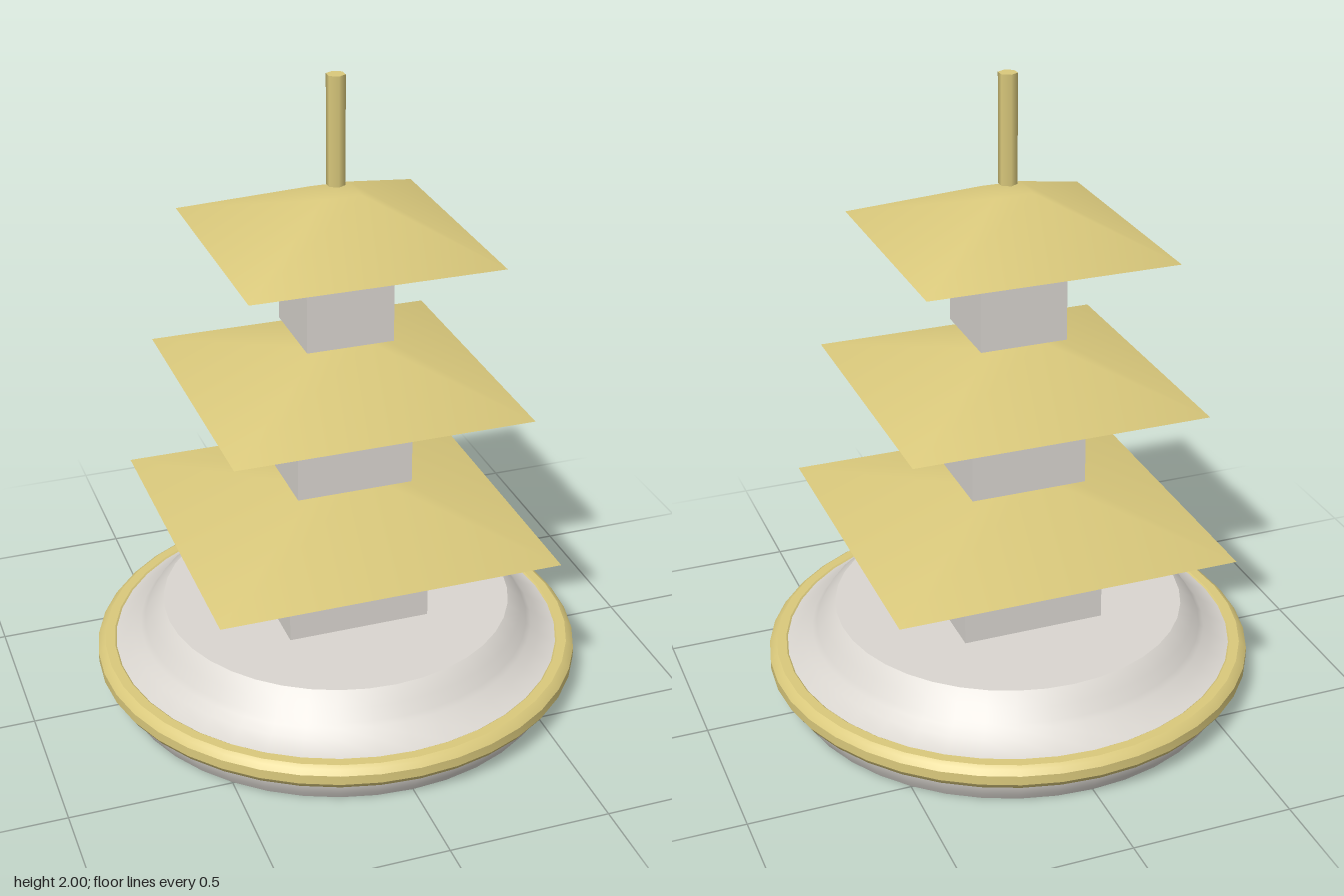
import * as THREE from 'three';
import { toCreasedNormals } from 'three/addons/utils/BufferGeometryUtils.js';

const stone = new THREE.MeshStandardMaterial({ name: 'pale stone', color: 0xdad6d0 });
const gold = new THREE.MeshStandardMaterial({ name: 'soft gold', color: 0xdac97c });

function part(name, geometry, material, y = 0) {
  const mesh = new THREE.Mesh(geometry, material);
  mesh.name = name;
  mesh.position.y = y;
  return mesh;
}

// Round part turned from a profile of [radius, height], listed bottom to top
function turned(profile) {
  const points = profile.map(([r, y]) => new THREE.Vector2(r, y));
  return toCreasedNormals(new THREE.LatheGeometry(points, 40), 0.5);
}

// Shallow four-sided roof with a small flat top and softened ridges
function roofGeometry(half, topHalf, height) {
  const geometry = new THREE.CylinderGeometry(topHalf * Math.SQRT2, half * Math.SQRT2, height, 4);
  geometry.rotateY(Math.PI / 4);
  return toCreasedNormals(geometry, 0.8);
}

export function createModel() {
  const model = new THREE.Group();
  model.name = 'tieredPagoda';

  // Round base and its rim band
  model.add(part('base', turned([
    [0, 0], [0.705, 0], [0.72, 0.025], [0.74, 0.07], [0.74, 0.14], [0.705, 0.145],
    [0.655, 0.172], [0.63, 0.193], [0.615, 0.205], [0.595, 0.243], [0.553, 0.277], [0, 0.277],
  ]), stone));
  model.add(part('rimBand', turned([
    [0.715, 0.07], [0.745, 0.07], [0.757, 0.077], [0.769, 0.095], [0.769, 0.125],
    [0.757, 0.14], [0.745, 0.148], [0.715, 0.148], [0.705, 0.14], [0.705, 0.078], [0.715, 0.07],
  ]), gold));

  // Three shrinking storeys, each a square room under a wide roof
  const tiers = [
    { floor: 0.277, eave: 0.574, wall: 0.227, roof: 0.533, top: 0.08 },
    { floor: 0.742, eave: 1.037, wall: 0.183, roof: 0.459, top: 0.075 },
    { floor: 1.204, eave: 1.5, wall: 0.136, roof: 0.384, top: 0.06 },
  ];
  const roofHeight = 0.147;
  tiers.forEach(({ floor, eave, wall, roof, top }, i) => {
    const storey = new THREE.Group();
    storey.name = `storey${i + 1}`;
    const height = eave - floor;
    storey.add(part('walls', new THREE.BoxGeometry(wall * 2, height, wall * 2), stone, floor + height / 2));
    storey.add(part('roof', roofGeometry(roof, top, roofHeight), gold, eave + roofHeight / 2));
    model.add(storey);
  });

  // Six-sided spire
  model.add(part('spire', new THREE.CylinderGeometry(0.029, 0.029, 0.333, 6), gold, 1.8335));

  return model;
}
